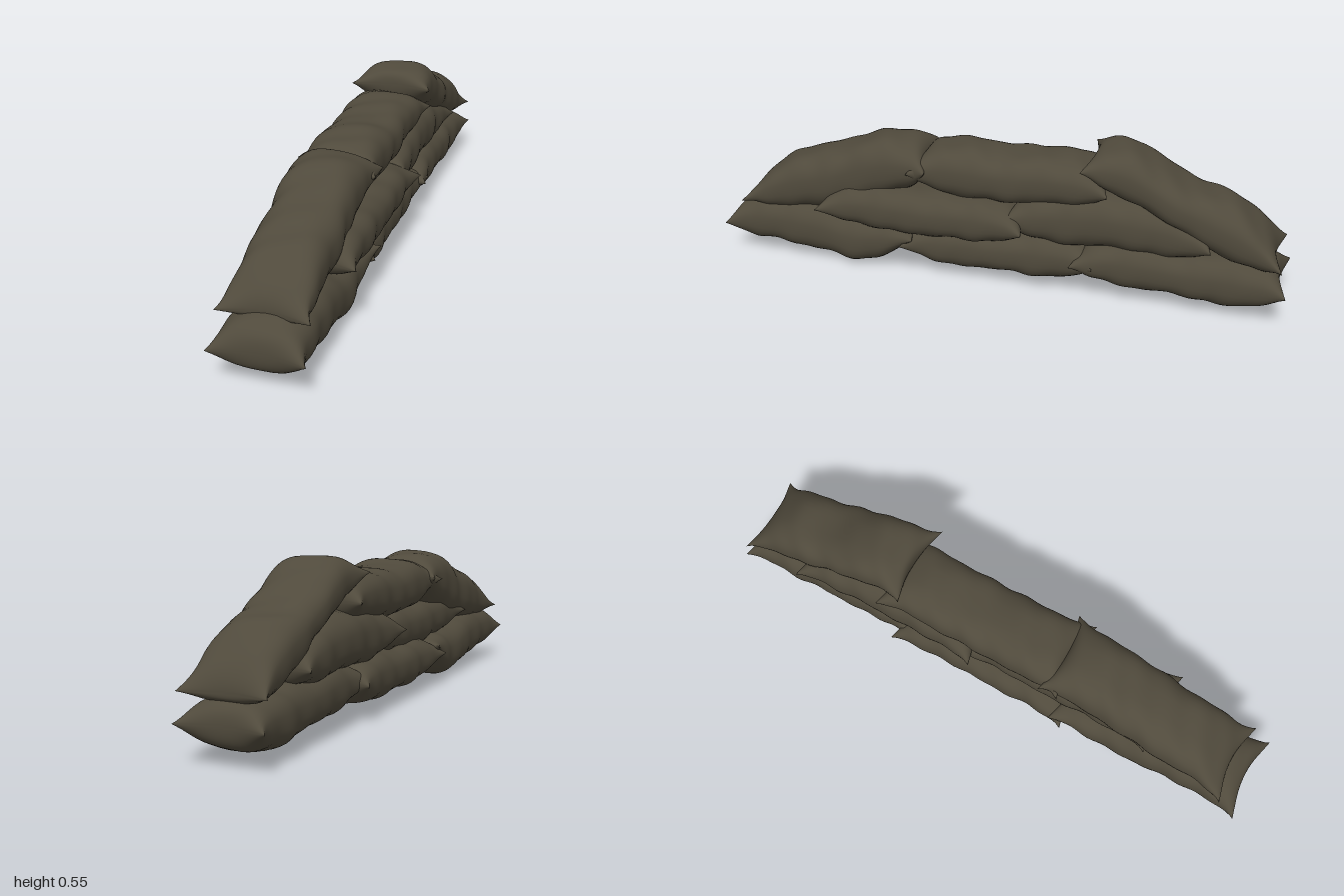
import * as THREE from 'three';

const RINGS = 60, SIDES = 40;
const spow = (v, p) => Math.sign(v) * Math.pow(Math.abs(v), p);

// One filled sack: lofted along z, pinched to a flat seam at both ends with flared corner ears.
// stations: [z, bottom, top] from front to back; x: sideways offset; w: half width
function sackGeometry({ x, w, stations }, seed) {
  const path = new THREE.CatmullRomCurve3(stations.map(s => new THREE.Vector3(...s)));
  const pos = [], index = [];
  for (let i = 0; i <= RINGS; i++) {
    const t = 0.5 - 0.5 * Math.cos(Math.PI * i / RINGS);
    const p = path.getPoint(t);
    const side = t < 0.5 ? 1 : -1;
    const e = Math.min(1, Math.abs(2 * t - 1));
    const end = Math.pow(e, 9);
    const mid = (p.y + p.z) / 2;
    const half = (p.z - p.y) / 2 * Math.pow(1 - end, 0.6) + 0.004;
    for (let j = 0; j < SIDES; j++) {
      const a = j / SIDES * Math.PI * 2, c = Math.cos(a), s = Math.sin(a);
      // slanted cloth folds that come and go along the sack, fading at the ends
      const patch = Math.sin(p.x * 9 + seed * 2.3 + c * 1.5);
      const fold = patch * Math.sin(p.x * 44 + c * 3 + s * 1.2 + seed * 1.7)
        + 0.4 * Math.sin(p.x * 23 - c * 5 + seed);
      const k = fold * 0.004 * (1 - end);
      const ear = 0.024 * Math.pow(e, 9) * spow(c, 5);
      pos.push(
        x + w * spow(c, 0.72 + 0.2 * end) + ear + k * c,
        Math.max(0, mid + half * spow(s, 0.8 + 0.1 * end) + k * s),
        p.x - side * 0.028 * end * (1 - c * c)
      );
    }
  }
  for (let i = 0; i < RINGS; i++) {
    for (let j = 0; j < SIDES; j++) {
      const n = (j + 1) % SIDES;
      const a = i * SIDES + j, b = i * SIDES + n, c = a + SIDES, d = b + SIDES;
      index.push(a, c, b, b, c, d);
    }
  }
  // stitched end seams
  const last = RINGS * SIDES;
  for (let j = 0; j < SIDES / 2; j++) {
    const n = j + 1, m = SIDES - n, o = (SIDES - j) % SIDES;
    index.push(j, n, m, j, m, o);
    index.push(last + j, last + m, last + n, last + j, last + o, last + m);
  }
  const geo = new THREE.BufferGeometry();
  geo.setAttribute('position', new THREE.Float32BufferAttribute(pos, 3));
  geo.setIndex(index);
  geo.computeVertexNormals();
  return geo;
}

const SACKS = [
  // bottom course
  { name: 'bottomFrontSack', x: -0.01, w: 0.13,
    stations: [[1, 0.05, 0.21], [0.82, 0.045, 0.225], [0.64, 0.027, 0.215], [0.5, 0.008, 0.19], [0.28, 0.11, 0.2]] },
  { name: 'bottomMiddleSack', x: -0.015, w: 0.13,
    stations: [[0.33, 0.06, 0.19], [0.15, 0.04, 0.2], [0, 0.045, 0.2], [-0.16, 0.042, 0.21], [-0.36, 0.06, 0.21]] },
  { name: 'bottomBackSack', x: 0, w: 0.125,
    stations: [[-0.28, 0.08, 0.2], [-0.47, 0.055, 0.22], [-0.65, 0.05, 0.21], [-0.82, 0.035, 0.21], [-1, 0.06, 0.2]] },
  // middle course
  { name: 'middleFrontSack', x: 0.017, w: 0.13,
    stations: [[0.63, 0.19, 0.3], [0.44, 0.165, 0.33], [0.26, 0.16, 0.32], [0.08, 0.165, 0.325], [-0.12, 0.18, 0.31]] },
  { name: 'middleBackSack', x: -0.012, w: 0.127,
    stations: [[-0.04, 0.2, 0.34], [-0.23, 0.18, 0.365], [-0.4, 0.19, 0.38], [-0.57, 0.185, 0.36], [-0.75, 0.19, 0.32]] },
  // top course, sloping down at both ends
  { name: 'topFrontSack', x: -0.013, w: 0.124,
    stations: [[0.93, 0.18, 0.27], [0.76, 0.19, 0.37], [0.59, 0.22, 0.425], [0.42, 0.28, 0.485], [0.23, 0.34, 0.49]] },
  { name: 'topMiddleSack', x: -0.015, w: 0.122,
    stations: [[0.3, 0.34, 0.47], [0.12, 0.31, 0.485], [-0.04, 0.31, 0.475], [-0.21, 0.325, 0.485], [-0.4, 0.34, 0.47]] },
  { name: 'topBackSack', x: 0, w: 0.124,
    stations: [[-0.31, 0.44, 0.55], [-0.47, 0.375, 0.54], [-0.65, 0.29, 0.44], [-0.82, 0.2, 0.385], [-0.98, 0.18, 0.26]] },
];

export function createModel() {
  const group = new THREE.Group();
  group.name = 'sandbagWall';
  const burlap = new THREE.MeshStandardMaterial({ color: 0x504a3c });
  burlap.name = 'darkOliveBurlap';
  SACKS.forEach((sack, i) => {
    const mesh = new THREE.Mesh(sackGeometry(sack, i + 1), burlap);
    mesh.name = sack.name;
    group.add(mesh);
  });
  return group;
}
